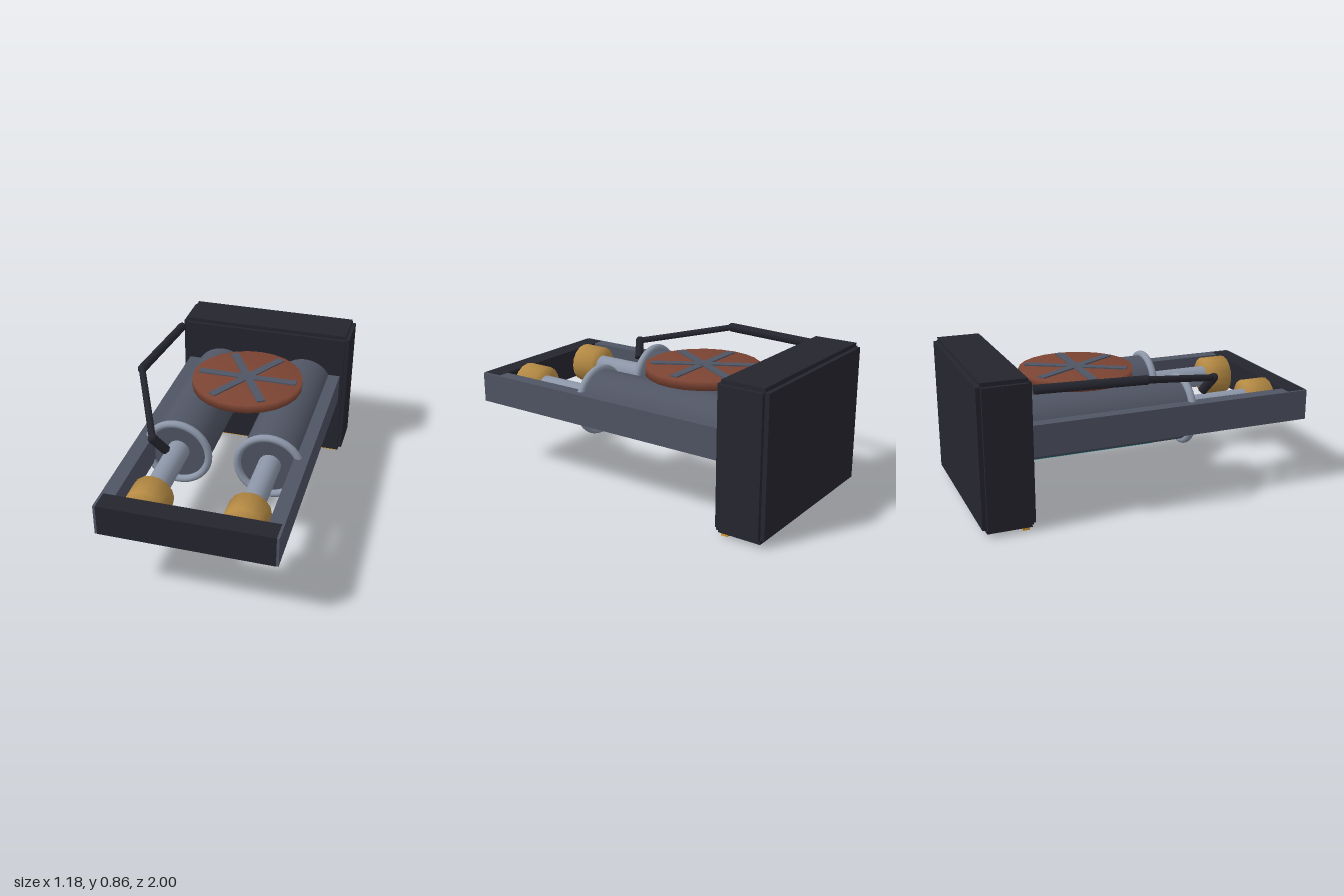
import * as THREE from 'three';
import { mergeVertices } from 'three/addons/utils/BufferGeometryUtils.js';

const paint = (name, color) => {
  const m = new THREE.MeshStandardMaterial({ color });
  m.name = name;
  return m;
};

// Shares vertices across the rims so caps and walls shade softly together
function soften(geometry) {
  geometry.deleteAttribute('normal');
  geometry.deleteAttribute('uv');
  const g = mergeVertices(geometry);
  g.computeVertexNormals();
  return g;
}

export function createModel() {
  const model = new THREE.Group();
  model.name = 'twinCylinderUnit';
  const dark = paint('darkHousing', 0x25252f);
  const gunmetal = paint('gunmetal', 0x505564);
  const steel = paint('steel', 0x8c96a8);
  const brass = paint('brass', 0xb58a44);
  const copper = paint('copper', 0x7c4433);
  const teal = paint('tealLight', 0x1cb5bd);
  const amber = paint('amberLight', 0xd99a2b);
  const CX = 0.0425, CY = 0.5;

  const add = (name, geometry, material, x = 0, y = 0, z = 0) => {
    const mesh = new THREE.Mesh(geometry, material);
    mesh.name = name;
    mesh.position.set(x, y, z);
    model.add(mesh);
    return mesh;
  };
  const box = (name, mat, x0, x1, y0, y1, z0, z1) =>
    add(name, new THREE.BoxGeometry(x1 - x0, y1 - y0, z1 - z0), mat,
      (x0 + x1) / 2, (y0 + y1) / 2, (z0 + z1) / 2);
  const rod = (r, z0, z1, sides) =>
    new THREE.CylinderGeometry(r, r, z1 - z0, sides).rotateX(Math.PI / 2).translate(0, 0, (z0 + z1) / 2);

  // Rear housing: three crossed slabs give stepped edges
  box('housingCore', dark, -0.5, 0.585, 0.04, 0.84, -0.975, -0.72);
  box('housingTall', dark, -0.478, 0.562, 0.015, 0.863, -0.975, -0.72);
  box('housingDeep', dark, -0.478, 0.562, 0.04, 0.84, -1, -0.7);
  box('housingLightStrip', amber, -0.475, 0.558, 0, 0.016, -0.775, -0.735);

  // Frame: side rails and front beam
  box('rightRail', gunmetal, -0.458, -0.375, 0.41, 0.59, -0.71, 0.999);
  box('leftRail', gunmetal, 0.46, 0.543, 0.41, 0.59, -0.71, 0.999);
  box('frontBeam', dark, -0.444, 0.529, 0.409, 0.591, 0.88, 1);

  // Twin cylinders with collar, piston, cap and underside light
  for (const side of [-1, 1]) {
    const x = CX + side * 0.2725;
    const label = side < 0 ? 'right' : 'left';
    add(label + 'Barrel', rod(0.18, -0.72, 0.255, 32), gunmetal, x, CY);
    add(label + 'Collar', new THREE.TorusGeometry(0.187, 0.022, 12, 40), steel, x, CY, 0.273);
    add(label + 'Piston', rod(0.066, 0.25, 0.72, 20), steel, x, CY);
    add(label + 'PistonCap', soften(rod(0.12, 0.7, 0.85, 16)), brass, x, CY);
    box(label + 'BarrelLight', teal, x - 0.017, x + 0.017, 0.31, 0.326, -0.63, 0.09);
  }

  // Round valve disc with a rounded lower edge and six spokes
  const profile = [[0, 0.665], [0.2, 0.667], [0.29, 0.675], [0.335, 0.688], [0.335, 0.74], [0, 0.74]]
    .map(([r, y]) => new THREE.Vector2(r, y));
  add('valveDisc', soften(new THREE.LatheGeometry(profile, 24)), copper, CX, 0, -0.275);
  for (let i = 0; i < 3; i++) {
    const spoke = add('valveSpoke', new THREE.BoxGeometry(0.605, 0.014, 0.05), gunmetal, CX, 0.74 + i * 0.0004, -0.275);
    spoke.rotation.y = i * Math.PI / 3;
  }

  // Bent pipe from the housing over to the right piston
  const path = [[-0.507, 0.805, -0.7], [-0.566, 0.805, -0.09], [-0.315, 0.69, 0.45], [-0.25, 0.595, 0.41]]
    .map((p) => new THREE.Vector3(...p));
  const radii = [0.028, 0.02, 0.028];
  radii.forEach((r, i) => {
    const dir = path[i + 1].clone().sub(path[i]);
    const mid = path[i].clone().addScaledVector(dir, 0.5);
    const pipe = add('pipeSegment', new THREE.CylinderGeometry(r, r, dir.length(), 6), dark, mid.x, mid.y, mid.z);
    pipe.quaternion.setFromUnitVectors(new THREE.Vector3(0, 1, 0), dir.normalize());
    if (i > 0) add('pipeElbow', new THREE.SphereGeometry(0.027, 10, 8), dark, path[i].x, path[i].y, path[i].z);
  });

  return model;
}
